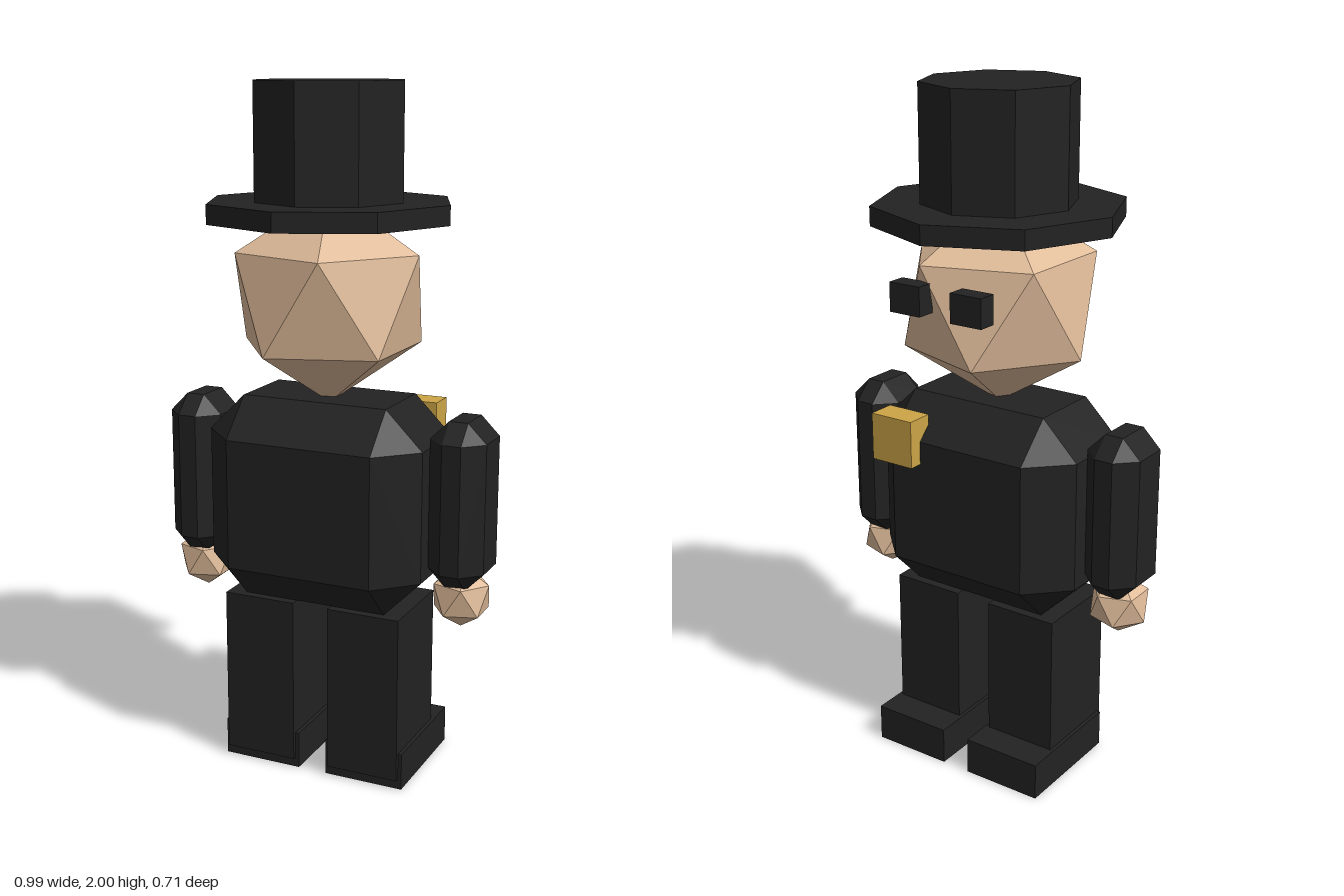
import * as THREE from 'three';
import { ConvexGeometry } from 'three/addons/geometries/ConvexGeometry.js';

function material(name, color) {
  const m = new THREE.MeshStandardMaterial({ color, flatShading: true });
  m.name = name;
  return m;
}

// Box with every edge cut at 45 degrees and a triangle at each corner
function chamferedBox(w, h, d, c) {
  const points = [];
  for (const x of [-1, 1]) for (const y of [-1, 1]) for (const z of [-1, 1]) {
    for (let axis = 0; axis < 3; axis++) {
      const inset = [c, c, c];
      inset[axis] = 0;
      points.push(new THREE.Vector3(
        x * (w / 2 - inset[0]), y * (h / 2 - inset[1]), z * (d / 2 - inset[2])));
    }
  }
  return new ConvexGeometry(points);
}

// Twenty-sided ball standing on a pole: two five-point rings and two tips
function poleIcosahedron(r) {
  const points = [new THREE.Vector3(0, r, 0), new THREE.Vector3(0, -r, 0)];
  const ringY = r / Math.sqrt(5);
  for (let i = 0; i < 5; i++) {
    const a = (i * 2 * Math.PI) / 5;
    const x = 2 * ringY * Math.cos(a), z = 2 * ringY * Math.sin(a);
    points.push(new THREE.Vector3(x, ringY, z), new THREE.Vector3(-x, -ringY, z));
  }
  return new ConvexGeometry(points);
}

export function createModel() {
  const model = new THREE.Group();
  model.name = 'topHatFigure';

  const black = material('black cloth', 0x222222);
  const skin = material('skin', 0xe0bc9a);
  const gold = material('gold', 0xcda547);

  const add = (name, geometry, mat, x, y, z) => {
    const mesh = new THREE.Mesh(geometry, mat);
    mesh.name = name;
    mesh.position.set(x, y, z);
    model.add(mesh);
  };

  // Body and head
  add('torso', chamferedBox(0.66, 0.6, 0.44, 0.11), black, 0, 0.825, 0);
  add('head', poleIcosahedron(0.3), skin, 0, 1.402, 0);

  // Eight-sided top hat
  add('hatBrim', new THREE.CylinderGeometry(0.356, 0.356, 0.055, 8), black, 0, 1.648, 0);
  add('hatCrown', new THREE.CylinderGeometry(0.22, 0.22, 0.33, 8), black, 0, 1.835, 0);

  // Paired parts; the face, toes and badge point toward -z
  for (const [side, s] of [['left', 1], ['right', -1]]) {
    add(side + 'Arm', chamferedBox(0.165, 0.484, 0.22, 0.055), black, s * 0.412, 0.855, 0);
    add(side + 'Hand', poleIcosahedron(0.092), skin, s * 0.412, 0.578, 0);
    add(side + 'Leg', new THREE.BoxGeometry(0.22, 0.495, 0.275), black, s * 0.165, 0.2775, 0);
    add(side + 'Foot', new THREE.BoxGeometry(0.242, 0.11, 0.357), black, s * 0.165, 0.055, -0.0535);
    add(side + 'Eye', new THREE.BoxGeometry(0.1, 0.083, 0.056), black, s * 0.1, 1.451, -0.272);
  }

  // Chest badge
  add('badge', new THREE.BoxGeometry(0.138, 0.138, 0.082), gold, 0.19, 1.017, -0.219);

  return model;
}
